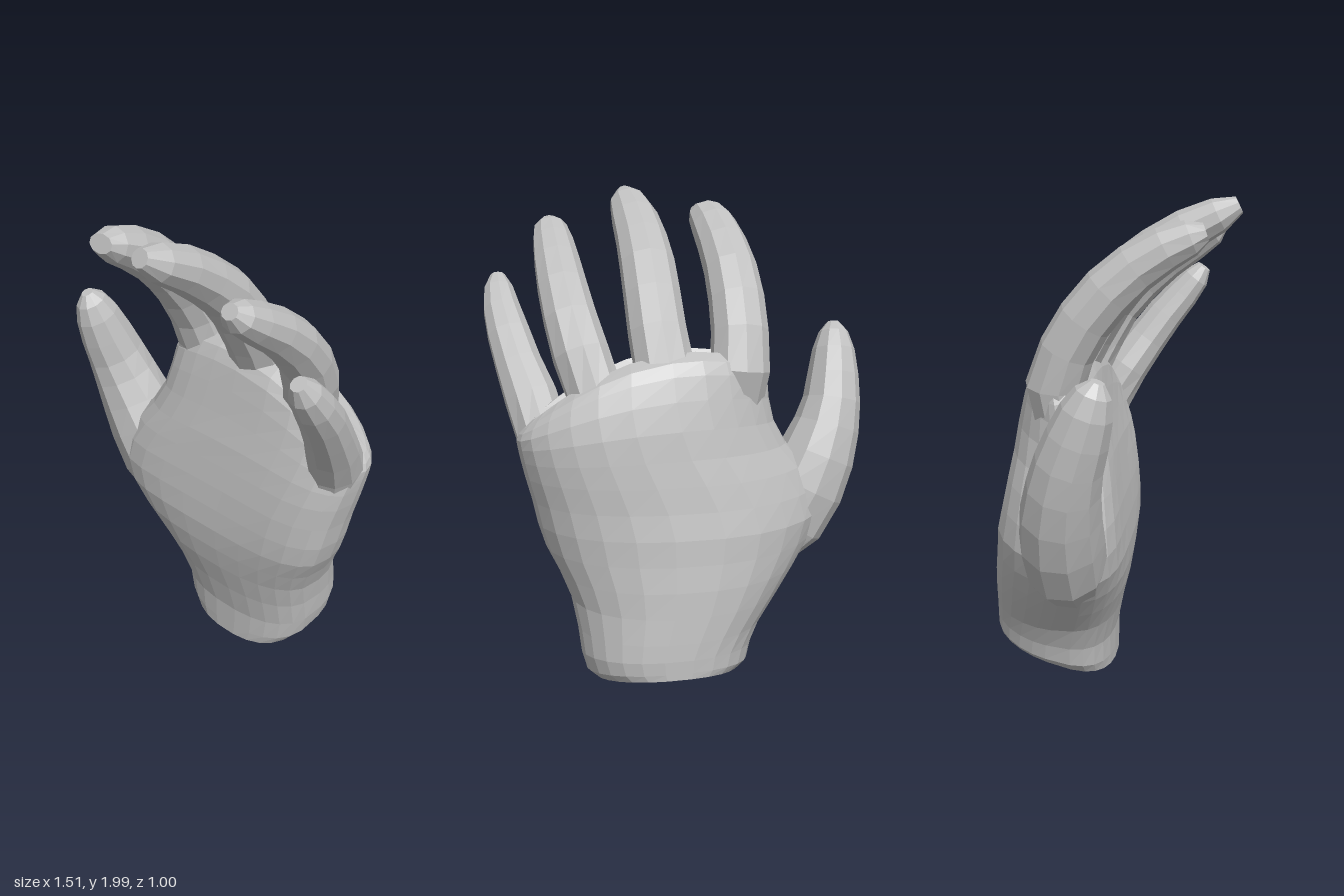
import * as THREE from 'three';

// Skin closed rings (equal point counts) into a flat-shaded, capped solid
function loft(rings) {
  const n = rings[0].length;
  const out = [];
  const tri = (...pts) => pts.forEach((p) => out.push(p.x, p.y, p.z));
  for (let i = 0; i < rings.length - 1; i++) {
    for (let j = 0; j < n; j++) {
      const k = (j + 1) % n;
      const a = rings[i][j], b = rings[i][k], c = rings[i + 1][j], d = rings[i + 1][k];
      tri(a, c, b);
      tri(b, c, d);
    }
  }
  const cap = (ring, top) => {
    const mid = new THREE.Vector3();
    ring.forEach((p) => mid.addScaledVector(p, 1 / n));
    for (let j = 0; j < n; j++) {
      const p = ring[j], q = ring[(j + 1) % n];
      if (top) tri(mid, q, p);
      else tri(mid, p, q);
    }
  };
  cap(rings[0], false);
  cap(rings[rings.length - 1], true);
  const geo = new THREE.BufferGeometry();
  geo.setAttribute('position', new THREE.Float32BufferAttribute(out, 3));
  geo.computeVertexNormals();
  return geo;
}

// Palm cross-section: flat front, domed back falling away towards the thumb
function palmRing([y, xl, xr, zf, zb, zc, hollow], sides = 26) {
  const tilt = 0.3 * Math.max(0, 1 - y / 0.32); // slanted wrist cut
  const drop = 0.68 * Math.max(0, (y - 0.88) / 0.5) ** 1.5; // curved knuckle rim
  const ring = [];
  for (let j = 0; j < sides; j++) {
    const a = (j / sides) * Math.PI * 2;
    const c = Math.cos(a), s = Math.sin(a);
    const u = Math.sign(c) * Math.abs(c) ** 0.85;
    const x = (xl + xr) / 2 + ((xr - xl) / 2) * u;
    const slope = 1.02 + (c < 0 ? Math.min(0.35, y * 0.5) : 0);
    let z = s > 0 ? zc + (zf - zc) * s ** 0.65 : zc + (zb - zc) * (-s) ** slope;
    if (s > 0) z -= hollow * Math.max(0, 1 - u * u * 2);
    ring.push(new THREE.Vector3(x, y + tilt * (0.02 - z) - drop * x * x, z));
  }
  return ring;
}

// Finger rings: points are [x, y, z, half width, half depth] along the bone
function fingerRings(points, sides = 10) {
  const centres = points.map((p) => new THREE.Vector3(p[0], p[1], p[2]));
  return points.map((p, i) => {
    const next = centres[Math.min(i + 1, centres.length - 1)];
    const t = next.clone().sub(centres[Math.max(i - 1, 0)]).normalize();
    const side = new THREE.Vector3(1, 0, 0).addScaledVector(t, -t.x).normalize();
    const front = side.clone().cross(t);
    return Array.from({ length: sides }, (_, j) => {
      const a = ((j + 0.5) / sides) * Math.PI * 2;
      return centres[i].clone()
        .addScaledVector(side, p[3] * Math.cos(a))
        .addScaledVector(front, p[4] * Math.sin(a));
    });
  });
}

// y, left x, right x, front z, back z, edge z, hollow
const PALM = [
  [0.0, -0.19, 0.38, 0.02, -0.5, -0.24, 0],
  [0.05, -0.23, 0.42, 0.02, -0.5, -0.24, 0],
  [0.15, -0.25, 0.44, 0.02, -0.5, -0.23, 0],
  [0.28, -0.3, 0.45, 0.045, -0.495, -0.2, 0],
  [0.4, -0.39, 0.47, 0.075, -0.485, -0.16, 0],
  [0.5, -0.47, 0.51, 0.1, -0.475, -0.13, 0.01],
  [0.6, -0.545, 0.56, 0.115, -0.46, -0.1, 0.02],
  [0.7, -0.585, 0.59, 0.115, -0.45, -0.1, 0.03],
  [0.8, -0.56, 0.61, 0.105, -0.43, -0.11, 0.035],
  [0.9, -0.5, 0.635, 0.085, -0.415, -0.12, 0.035],
  [1.0, -0.42, 0.65, 0.06, -0.4, -0.13, 0.03],
  [1.11, -0.365, 0.66, 0.03, -0.385, -0.14, 0.03],
  [1.22, -0.34, 0.665, 0.0, -0.36, -0.15, 0.025],
  [1.31, -0.33, 0.655, -0.035, -0.33, -0.16, 0.01],
  [1.36, -0.315, 0.635, -0.07, -0.3, -0.17, 0],
  [1.385, -0.28, 0.6, -0.13, -0.23, -0.18, 0],
];

const DIGITS = {
  indexFinger: [
    [-0.19, 1.12, -0.16, 0.11, 0.1],
    [-0.21, 1.3, -0.18, 0.12, 0.118],
    [-0.222, 1.44, -0.13, 0.114, 0.11],
    [-0.225, 1.56, -0.06, 0.112, 0.107],
    [-0.222, 1.67, 0.03, 0.108, 0.104],
    [-0.212, 1.76, 0.13, 0.102, 0.096],
    [-0.202, 1.83, 0.24, 0.095, 0.084],
    [-0.192, 1.87, 0.33, 0.08, 0.068],
    [-0.185, 1.89, 0.385, 0.054, 0.036],
  ],
  middleFinger: [
    [0.08, 1.12, -0.18, 0.12, 0.1],
    [0.09, 1.3, -0.19, 0.12, 0.12],
    [0.105, 1.45, -0.11, 0.116, 0.112],
    [0.11, 1.58, -0.03, 0.114, 0.108],
    [0.112, 1.69, 0.06, 0.112, 0.104],
    [0.115, 1.78, 0.17, 0.106, 0.096],
    [0.122, 1.86, 0.29, 0.098, 0.086],
    [0.13, 1.92, 0.41, 0.08, 0.07],
    [0.135, 1.96, 0.49, 0.036, 0.035],
  ],
  ringFinger: [
    [0.31, 1.05, -0.18, 0.11, 0.1],
    [0.36, 1.22, -0.18, 0.11, 0.115],
    [0.405, 1.37, -0.11, 0.112, 0.11],
    [0.435, 1.5, -0.03, 0.106, 0.1],
    [0.452, 1.61, 0.07, 0.1, 0.095],
    [0.46, 1.7, 0.18, 0.093, 0.086],
    [0.463, 1.77, 0.29, 0.084, 0.075],
    [0.465, 1.82, 0.37, 0.07, 0.06],
    [0.467, 1.85, 0.41, 0.034, 0.03],
  ],
  littleFinger: [
    [0.53, 0.9, -0.14, 0.08, 0.1],
    [0.56, 1.06, -0.1, 0.105, 0.115],
    [0.595, 1.19, -0.015, 0.106, 0.1],
    [0.635, 1.31, 0.07, 0.094, 0.09],
    [0.665, 1.42, 0.15, 0.087, 0.083],
    [0.685, 1.51, 0.225, 0.076, 0.074],
    [0.692, 1.585, 0.285, 0.06, 0.06],
    [0.692, 1.635, 0.32, 0.03, 0.032],
  ],
  thumb: [
    [-0.33, 0.5, -0.1, 0.1, 0.12],
    [-0.43, 0.65, -0.1, 0.175, 0.16],
    [-0.51, 0.79, -0.1, 0.175, 0.165],
    [-0.57, 0.915, -0.09, 0.158, 0.155],
    [-0.615, 1.03, -0.07, 0.136, 0.14],
    [-0.642, 1.13, -0.045, 0.118, 0.128],
    [-0.657, 1.23, -0.01, 0.105, 0.116],
    [-0.668, 1.33, 0.025, 0.087, 0.097],
    [-0.674, 1.4, 0.05, 0.06, 0.068],
    [-0.676, 1.44, 0.065, 0.024, 0.027],
  ],
};

export function createModel() {
  const hand = new THREE.Group();
  hand.name = 'hand';
  const grey = new THREE.MeshStandardMaterial({ color: 0xc0c0c0 });
  grey.name = 'plain grey';

  const add = (name, rings) => {
    const mesh = new THREE.Mesh(loft(rings), grey);
    mesh.name = name;
    hand.add(mesh);
  };

  // Palm and wrist in one skin, then the digits rooted inside it
  add('palm', PALM.map((row) => palmRing(row)));
  for (const [name, points] of Object.entries(DIGITS)) add(name, fingerRings(points));
  return hand;
}
